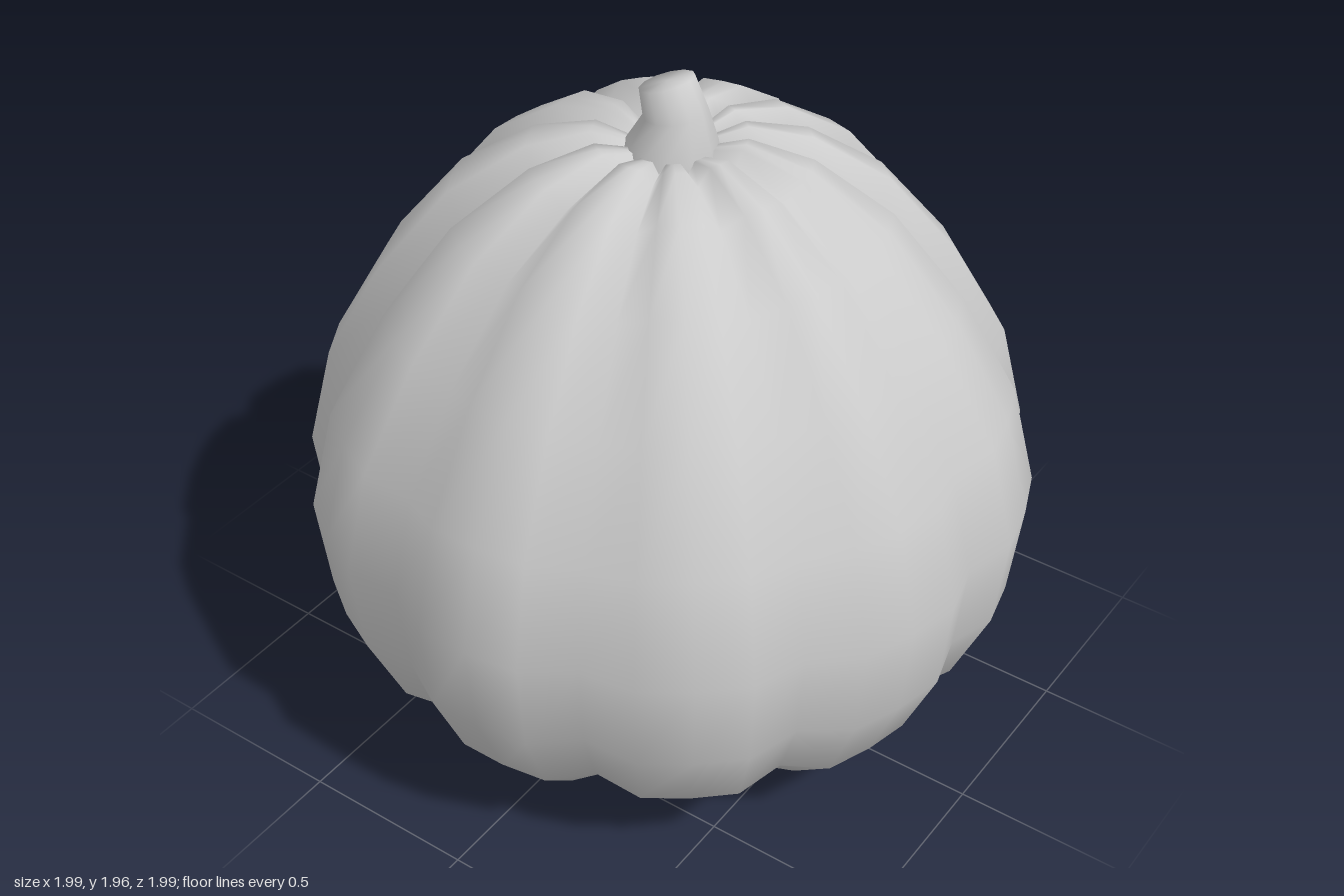
import * as THREE from 'three';
import { mergeVertices } from 'three/addons/utils/BufferGeometryUtils.js';

// Smooth closed skin over rows of points, listed bottom to top
function loft(rows, cols, point) {
  const positions = [], index = [];
  for (let i = 0; i < rows; i++) {
    for (let j = 0; j < cols; j++) positions.push(...point(i, j));
  }
  for (let i = 0; i < rows - 1; i++) {
    for (let j = 0; j < cols; j++) {
      const k = (j + 1) % cols;
      const a = i * cols + j, b = i * cols + k, c = b + cols, d = a + cols;
      index.push(a, b, c, a, c, d);
    }
  }
  const geometry = new THREE.BufferGeometry();
  geometry.setAttribute('position', new THREE.Float32BufferAttribute(positions, 3));
  geometry.setIndex(index);
  const merged = mergeVertices(geometry, 1e-5);
  merged.computeVertexNormals();
  return merged;
}

// Ribbed body: lobe profile as [radius, height], pressed inwards at the grooves
function bodyGeometry() {
  const profile = [
    [0, 0.035], [0.1, 0.012], [0.24, 0.005], [0.48, 0.04], [0.7, 0.135], [0.87, 0.3],
    [0.97, 0.53], [1, 0.81], [0.928, 1.1], [0.77, 1.38], [0.578, 1.615],
    [0.37, 1.755], [0.2, 1.8], [0.11, 1.775], [0, 1.72],
  ];
  const segments = 42;
  const grooves = new Set([0, 4, 7, 10, 14, 18, 22, 26, 30, 34, 38]);
  const last = profile.length - 1;
  return loft(profile.length, segments, (i, j) => {
    let [r, y] = profile[i];
    if (grooves.has(j) && i > 0 && i < last) {
      const dr = profile[i + 1][0] - profile[i - 1][0];
      const dy = profile[i + 1][1] - profile[i - 1][1];
      const depth = (r < 0.15 ? 0.03 : 0.05) / Math.hypot(dr, dy);
      r = Math.max(0.02, r - dy * depth);
      y += dr * depth;
    }
    const angle = (j / segments) * Math.PI * 2;
    return [r * Math.sin(angle), y, r * Math.cos(angle)];
  });
}

// Stem: rings as [radius, height, z offset, tilt], closed by a slanted cap
function stemGeometry() {
  const rings = [
    [0.13, 1.73, 0, 0], [0.118, 1.785, 0.006, 0.02], [0.085, 1.865, 0.016, 0.15],
    [0.074, 1.942, -0.011, 0.32], [0, 1.944, -0.011, 0.32],
  ];
  const sides = 12;
  return loft(rings.length, sides, (i, j) => {
    const [r, y, z, tilt] = rings[i];
    const angle = (j / sides) * Math.PI * 2;
    const forward = r * Math.cos(angle);
    return [r * Math.sin(angle), y + forward * Math.sin(tilt), z + forward * Math.cos(tilt)];
  });
}

export function createModel() {
  const group = new THREE.Group();
  group.name = 'pumpkin';
  const material = new THREE.MeshStandardMaterial({ color: 0xcccccc });
  const parts = { body: bodyGeometry(), stem: stemGeometry() };
  for (const [name, geometry] of Object.entries(parts)) {
    const mesh = new THREE.Mesh(geometry, material);
    mesh.name = name;
    group.add(mesh);
  }
  return group;
}
